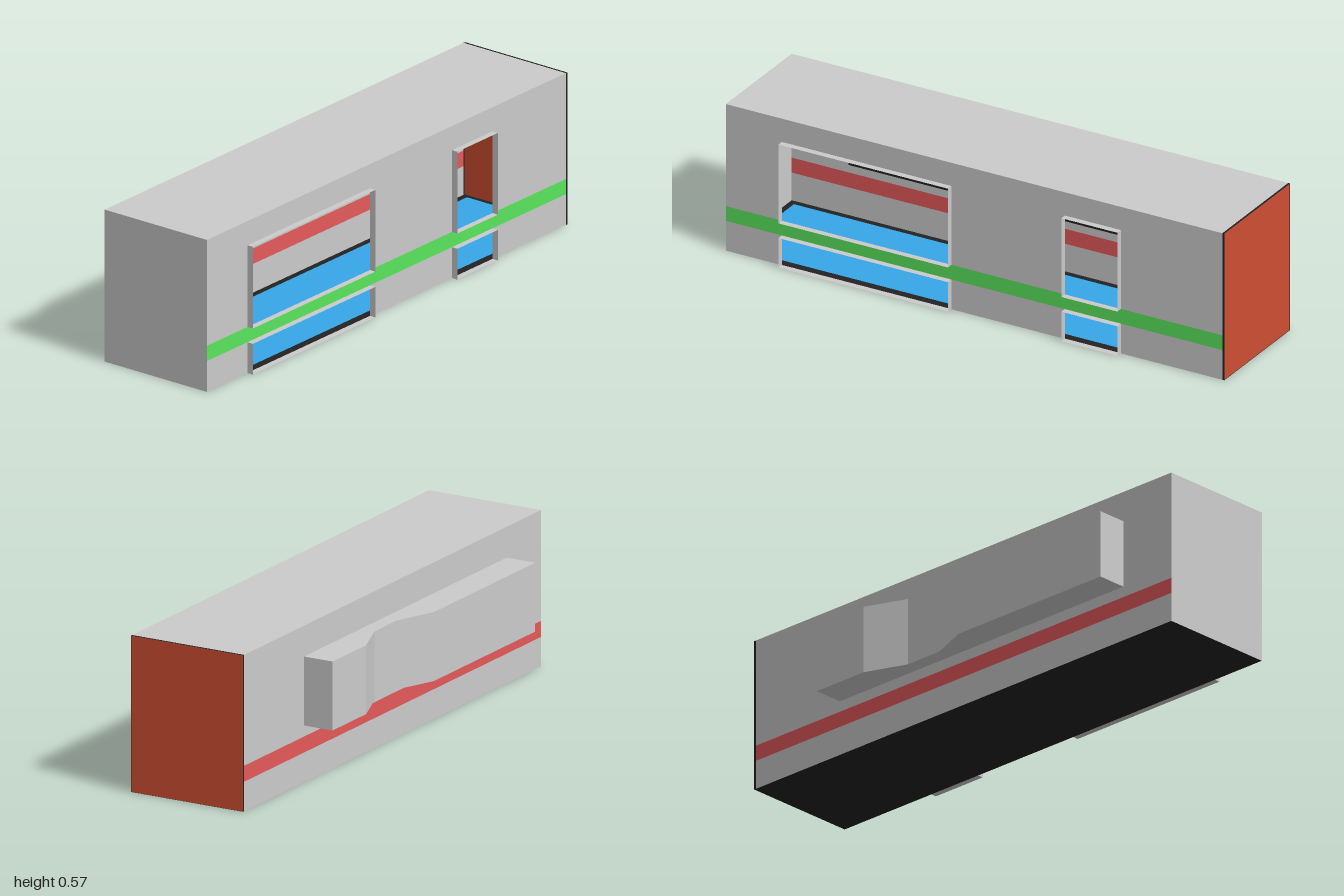
import * as THREE from 'three';

const GREY = 0xcccccc, GREEN = 0x5be65d, RED = 0xd04e32, STRIPE_RED = 0xe65a5a, BLUE = 0x37a7e7, BLACK = 0x222222;
const materials = {};
const mat = (color) => (materials[color] ??= new THREE.MeshStandardMaterial({ color, side: THREE.DoubleSide, flatShading: true }));

const L = -0.182, R = 0.271, H = 0.567; // shell left, right and height

export function createModel() {
  const model = new THREE.Group();

  const add = (name, geometry, color) => {
    const mesh = new THREE.Mesh(geometry, mat(color));
    mesh.name = name;
    model.add(mesh);
    return mesh;
  };

  // Upright thin panel between two [x, z] points
  const wall = (name, [x0, z0], [x1, z1], y0, y1, color = GREY) => {
    const g = new THREE.PlaneGeometry(Math.hypot(x1 - x0, z1 - z0), y1 - y0);
    g.rotateY(-Math.atan2(z1 - z0, x1 - x0));
    g.translate((x0 + x1) / 2, (y0 + y1) / 2, (z0 + z1) / 2);
    return add(name, g, color);
  };

  // Level thin panel from a list of [x, z] points
  const level = (name, points, y, color = GREY) => {
    const g = new THREE.ShapeGeometry(new THREE.Shape(points.map((p) => new THREE.Vector2(...p))));
    g.rotateX(Math.PI / 2).translate(0, y, 0);
    return add(name, g, color);
  };
  const rect = (x0, x1, z0, z1) => [[x0, z0], [x1, z0], [x1, z1], [x0, z1]];

  // Shell: roof, front, base and the inset floor covering
  level('roof', rect(L, R, -0.992, 1), H);
  wall('frontWall', [L, 1], [R, 1], 0, H);
  level('base', rect(L, R, -1, 1), 0, BLACK);
  level('floorCovering', rect(L + 0.028, R - 0.028, -0.975, 0.975), 0.003, BLUE);

  // Back panel inside a thin dark rim
  wall('backPanel', [L, -0.998], [R, -0.998], 0, H, RED);
  level('backRimTop', rect(L, R, -1, -0.992), H, BLACK);
  for (const x of [L, R]) wall('backRimSide', [x, -1], [x, -0.992], 0, H, BLACK);

  // Openings in the right wall, each with an upper and a lower part
  const openings = [[-0.585, -0.36], [0.095, 0.775]];
  const bands = [[0, 0.115], [0.172, 0.477]];
  const piers = [[-0.992, -0.585], [-0.36, 0.095], [0.775, 1]];
  for (const [y0, y1] of bands) {
    for (const [z0, z1] of piers) wall('rightWallPier', [R, z0], [R, z1], y0, y1);
    // Thin lips standing out around every opening
    for (const [z0, z1] of openings) {
      for (const z of [z0, z1]) wall('openingJamb', [R, z], [0.295, z], y0, y1);
      for (const y of [y0 || 0.001, y1]) level('openingSill', rect(R, 0.295, z0, z1), y);
    }
  }
  wall('rightStripe', [R, -0.992], [R, 1], 0.115, 0.172, GREEN);
  wall('rightWallTop', [R, -0.992], [R, 1], 0.477, H);

  // Left wall in bands, open where the bay joins it
  const bay = [[L, -0.59], [-0.297, -0.59], [-0.297, -0.365], [-0.238, -0.21],
    [-0.238, -0.06], [-0.297, 0.09], [-0.297, 0.77], [L, 0.77]];
  const b0 = 0.205, b1 = 0.455;
  wall('leftWallBottom', [L, -0.992], [L, 1], 0, 0.107);
  wall('leftStripe', [L, -0.992], [L, 1], 0.107, 0.165, STRIPE_RED);
  wall('leftWallMiddle', [L, -0.992], [L, 1], 0.165, b0);
  wall('leftWallBack', [L, -0.992], [L, -0.59], b0, b1);
  wall('leftWallFront', [L, 0.77], [L, 1], b0, b1);
  wall('leftWallTop', [L, -0.992], [L, 1], b1, H);

  // Projecting bay with a waisted outer face
  for (let i = 0; i + 1 < bay.length; i++) wall('bayWall', bay[i], bay[i + 1], b0, b1);
  level('bayFloor', bay, b0);
  level('bayRoof', bay, b1);
  wall('bayThreshold', [L + 0.002, -0.59], [L + 0.002, 0.77], b0 - 0.01, b0, BLACK);

  return model;
}
